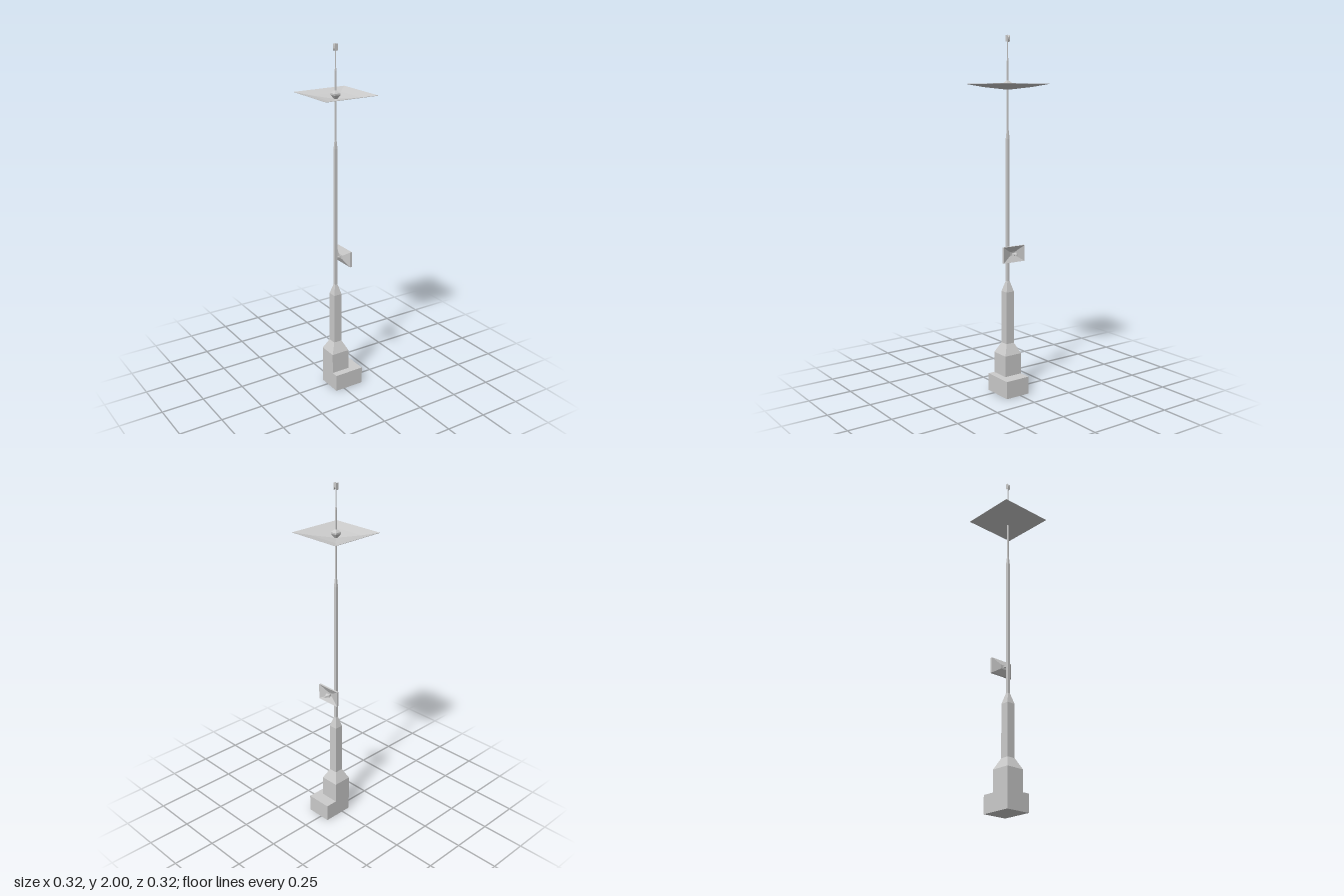
import * as THREE from 'three';

const material = new THREE.MeshStandardMaterial({
  color: 0xcccccc, flatShading: true, side: THREE.DoubleSide,
});

function part(parent, name, geometry) {
  const mesh = new THREE.Mesh(geometry, material);
  mesh.name = name;
  parent.add(mesh);
  return mesh;
}

// Four-sided turned form; each profile entry is [half width, height]
function squareLathe(profile) {
  const points = profile.map(([half, y]) => new THREE.Vector2(half * Math.SQRT2, y));
  return new THREE.LatheGeometry(points, 4, Math.PI / 4);
}

export function createModel() {
  const model = new THREE.Group();
  model.name = 'antennaTower';

  // Base block, offset to the front and left of the mast
  const base = part(model, 'baseBlock', new THREE.BoxGeometry(0.18, 0.1, 0.15));
  base.position.set(0.035, 0.05, 0.02);

  // Stepped square mast
  part(model, 'mast', squareLathe([
    [0, 0.002], [0.055, 0.002], [0.055, 0.22], [0.025, 0.28], [0.025, 0.58], [0.008, 0.64],
    [0.008, 1.44], [0.004, 1.49], [0.004, 1.86], [0.002, 1.88], [0.002, 1.985], [0, 1.985],
  ]));

  // Large upward-facing dish: underside, rim, then shallow bowl
  part(model, 'mainDish', squareLathe([
    [0, 1.707], [0.095, 1.722], [0.161, 1.738], [0.161, 1.74], [0.095, 1.725], [0, 1.711],
  ]));

  // Flared hub at the middle of the dish
  part(model, 'dishHub', squareLathe([
    [0.006, 1.711], [0.019, 1.733], [0.019, 1.742], [0.009, 1.753], [0.004, 1.757],
  ]));

  // Small rectangular dish on the left side of the mast, facing +x
  const sideDish = new THREE.Group();
  sideDish.name = 'sideDish';
  sideDish.position.y = 0.803;
  sideDish.rotation.z = -Math.PI / 2;
  model.add(sideDish);
  part(sideDish, 'sideDishArm', squareLathe([[0.004, 0], [0.004, 0.04]]));
  const reflector = part(sideDish, 'sideDishReflector', squareLathe([
    [0, 0.034], [0.012, 0.035], [0.045, 0.051], [0.045, 0.063], [0.012, 0.047], [0, 0.045],
  ]));
  const feed = part(sideDish, 'sideDishFeed', squareLathe([
    [0.003, 0.044], [0.008, 0.06], [0.008, 0.065], [0.003, 0.08], [0.003, 0.092], [0, 0.092],
  ]));
  reflector.scale.z = feed.scale.z = 1.6;

  // Bow-tie head at the tip of the mast
  const bow = new THREE.Shape([
    [-0.009, -0.018], [0, -0.003], [0.009, -0.018],
    [0.009, 0.018], [0, 0.003], [-0.009, 0.018],
  ].map(([x, y]) => new THREE.Vector2(x, y)));
  const headGeometry = new THREE.ExtrudeGeometry(bow, { depth: 0.018, bevelEnabled: false });
  headGeometry.translate(0, 0, -0.009);
  const head = part(model, 'tipAntenna', headGeometry);
  head.rotation.y = Math.PI / 2;
  head.position.y = 1.982;

  return model;
}
